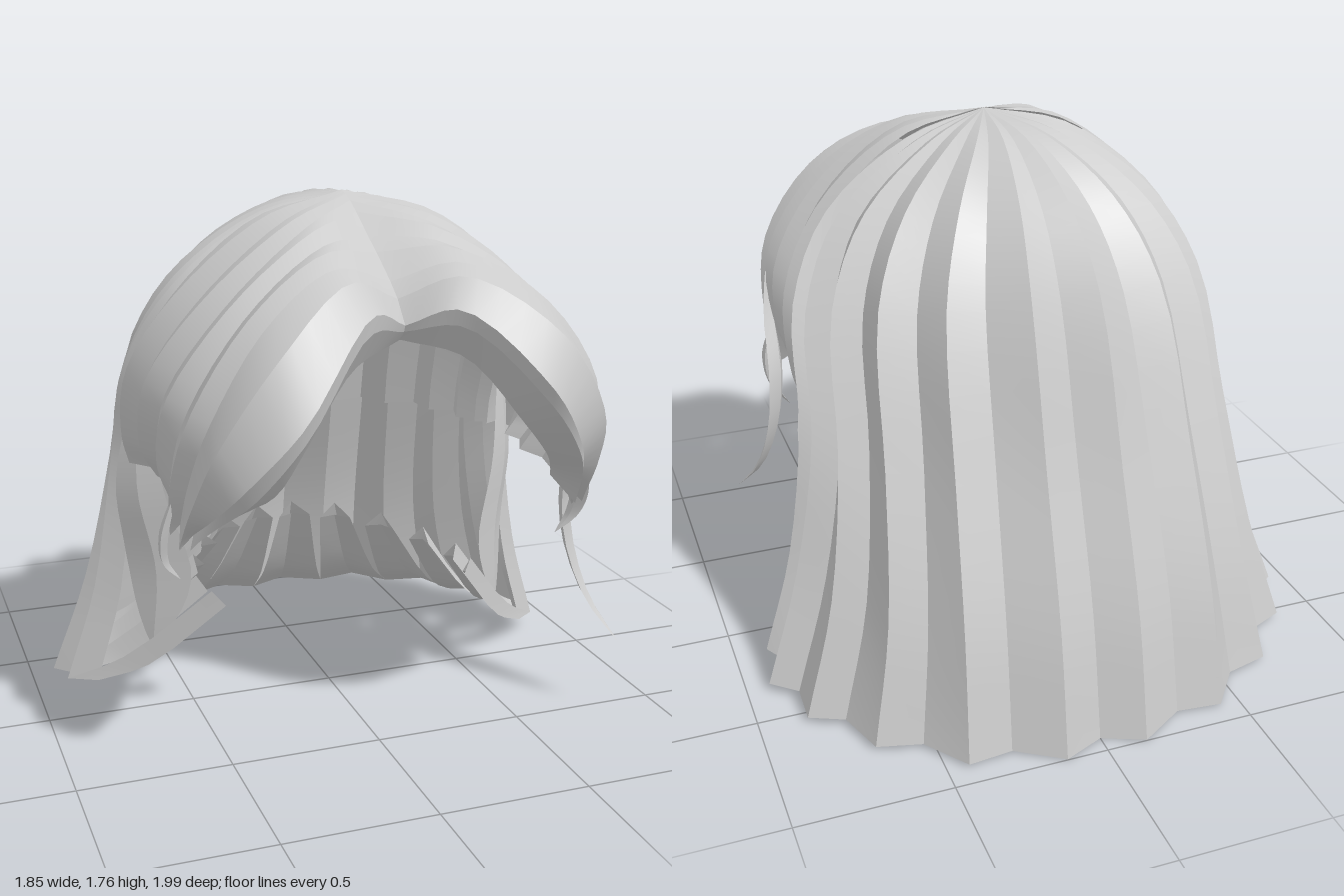
import * as THREE from 'three';
import { mergeGeometries } from 'three/addons/utils/BufferGeometryUtils.js';

const V = (x, y, z) => new THREE.Vector3(x, y, z);
const hair = new THREE.MeshStandardMaterial({ color: 0xcccccc, side: THREE.DoubleSide });
hair.name = 'hairGrey';

// Skin neighbouring columns of points; each strip is smooth along its length, creased at its sides
function sheet(cols) {
  const strips = [];
  for (let c = 0; c + 1 < cols.length; c++) {
    const pos = [], idx = [], n = cols[c].length;
    for (let i = 0; i < n; i++) pos.push(...cols[c][i].toArray(), ...cols[c + 1][i].toArray());
    for (let i = 0; i + 1 < n; i++) {
      const a = i * 2;
      idx.push(a, a + 1, a + 2, a + 1, a + 3, a + 2);
    }
    const g = new THREE.BufferGeometry();
    g.setAttribute('position', new THREE.Float32BufferAttribute(pos, 3));
    g.setIndex(idx);
    g.computeVertexNormals();
    strips.push(g);
  }
  return mergeGeometries(strips);
}

function part(name, geometry) {
  const m = new THREE.Mesh(geometry, hair);
  m.name = name;
  return m;
}

// One strand at parameter s (0..1) across a family of guide strands
function strand(guides, s, rows, lift, drop) {
  const pts = guides[0].map((_, i) =>
    new THREE.CatmullRomCurve3(guides.map(g => V(...g[i]))).getPoint(s));
  return new THREE.CatmullRomCurve3(pts).getPoints(rows).map((p, i) => {
    const t = i / rows;
    const out = p.clone().sub(V(0, Math.min(p.y, 0.95), -0.1)).normalize();
    p.addScaledVector(out, lift * THREE.MathUtils.smoothstep(t, 0, 0.6));
    p.y -= drop * t ** 6;
    return p;
  });
}

const mirror = guide => guide.map(([x, y, z]) => [-x, y, z]);

// Long back hair: guide strands from the back centre round to the side edge
const crown = [0, 1.75, 0.14];
const backGuides = [
  [crown, [0, 1.72, -0.15], [0, 1.58, -0.4], [0, 1.35, -0.57], [0, 0.85, -0.74], [0, 0.4, -0.89], [0, 0, -0.97]],
  [crown, [0.12, 1.71, -0.12], [0.25, 1.56, -0.33], [0.34, 1.32, -0.48], [0.38, 0.85, -0.66], [0.41, 0.4, -0.81], [0.43, 0.01, -0.89]],
  [crown, [0.2, 1.7, -0.02], [0.43, 1.52, -0.15], [0.56, 1.27, -0.27], [0.6, 0.85, -0.43], [0.66, 0.4, -0.56], [0.76, 0.02, -0.62]],
  [crown, [0.25, 1.685, 0.06], [0.52, 1.475, 0.02], [0.65, 1.2, -0.08], [0.68, 0.85, -0.22], [0.77, 0.4, -0.28], [0.895, 0.03, -0.33]],
  [crown, [0.28, 1.68, 0.13], [0.55, 1.455, 0.12], [0.68, 1.2, 0.03], [0.7, 0.87, -0.08], [0.75, 0.4, -0.1], [0.84, 0.07, -0.11]],
];

function backHair() {
  const all = [...backGuides.slice(1).reverse().map(mirror), ...backGuides];
  const pleats = 12, cols = [], lining = [], tufts = [];
  for (let i = 0; i <= pleats * 2; i++) {
    const ridge = i % 2;
    const skew = ridge ? (i < pleats ? 0.12 : -0.12) : 0;
    const s = (i + skew) / (pleats * 2);
    const lift = ridge ? 0.035 : -0.03;
    cols.push(strand(all, s, 24, lift, 0));
    lining.push(strand(all, s, 24, lift - 0.035, 0).slice(6, 17));
  }
  // Strand ends curl under the hem, inward and upward, as thick tufts
  for (let k = 0; k < pleats; k++) {
    const [a, r, b] = [0, 1, 2].map(j => cols[k * 2 + j].at(-1));
    const tip = V(r.x * 0.52, 0.41, r.z + 0.36);
    const curl = (h, rise) => {
      const q = tip.clone().addScaledVector(h.clone().sub(r), 0.42);
      const mid = h.clone().lerp(q, 0.4).add(V(0, -0.05, 0));
      return new THREE.CatmullRomCurve3([h, mid, q]).getPoints(6)
        .map((p, i) => p.add(V(0, rise * i / 6, 0)));
    };
    tufts.push(sheet([curl(a, 0), curl(r, 0), curl(b, 0), curl(r, 0.05), curl(a, 0)]));
  }
  return [
    part('backHair', sheet(cols)),
    part('capLining', sheet(lining.reverse())),
    part('curledEnds', mergeGeometries(tufts)),
  ];
}

// Side cap, from the side edge forward; its lower rim turns in
const capGuides = [
  [crown, [0.29, 1.685, 0.13], [0.56, 1.455, 0.1], [0.69, 1.2, 0], [0.7, 0.98, -0.07], [0.69, 0.87, -0.09]],
  [crown, [0.26, 1.68, 0.28], [0.53, 1.46, 0.29], [0.685, 1.2, 0.2], [0.68, 0.97, 0.12], [0.63, 0.88, 0.1]],
  [[0, 1.73, 0.2], [0.22, 1.67, 0.38], [0.49, 1.47, 0.46], [0.67, 1.2, 0.4], [0.665, 0.99, 0.3], [0.61, 0.87, 0.26]],
  [[0, 1.64, 0.36], [0.2, 1.63, 0.48], [0.46, 1.46, 0.58], [0.645, 1.19, 0.58], [0.675, 0.97, 0.48], [0.65, 0.84, 0.42]],
  [[0, 1.53, 0.55], [0.2, 1.59, 0.62], [0.45, 1.45, 0.73], [0.62, 1.18, 0.73], [0.66, 0.97, 0.62], [0.66, 0.83, 0.52]],
];
// Swept fringe: the crest, then the lower edge; the right side sweeps out further
const leftFringe = [
  [[0, 1.42, 0.67], [0.13, 1.48, 0.79], [0.35, 1.27, 0.95], [0.5, 1.07, 0.87], [0.58, 0.94, 0.74], [0.63, 0.82, 0.59]],
  [[0, 1.37, 0.63], [0.18, 1.32, 0.71], [0.36, 1.12, 0.75], [0.48, 0.99, 0.69], [0.55, 0.91, 0.59], [0.6, 0.85, 0.5]],
];
const rightFringe = [
  [[0, 1.42, 0.67], [0.15, 1.48, 0.8], [0.42, 1.23, 1.0], [0.57, 1.04, 0.92], [0.62, 0.93, 0.79], [0.64, 0.82, 0.6]],
  [[0, 1.37, 0.63], [0.18, 1.31, 0.72], [0.34, 1.11, 0.78], [0.43, 0.95, 0.73], [0.53, 0.88, 0.62], [0.6, 0.84, 0.5]],
];

function fringe(side) {
  const half = [...capGuides, ...(side > 0 ? leftFringe : rightFringe)];
  const guides = side > 0 ? half : half.map(mirror);
  const n = 12, cols = [];
  for (let i = 0; i <= n; i++) {
    const ridge = i % 2;
    const s = (i + (ridge ? -0.25 : 0)) / n;
    cols.push(strand(guides, s, 22, ridge ? 0.025 : -0.012, ridge && i > 6 ? 0.05 : 0));
  }
  return part(side > 0 ? 'leftFringe' : 'rightFringe', sheet(side > 0 ? cols : cols.reverse()));
}

// Loose lock with a diamond cross-section, tapering to both ends
function lock(name, path, across, width, thick, peak) {
  const curve = new THREE.CatmullRomCurve3(path.map(p => V(...p)));
  const w = V(...across).normalize();
  const nrm = V(0, 1, 0).cross(w).normalize();
  const cols = [[1, 0], [0, 1], [-1, 0], [0, -1], [1, 0]].map(([a, b]) =>
    curve.getPoints(16).map((p, i) => {
      const t = i / 16;
      const k = t < peak ? Math.sqrt(t / peak) : 1 - ((t - peak) / (1 - peak)) ** 2;
      return p.addScaledVector(w, a * width * k).addScaledVector(nrm, b * thick * k);
    }));
  return part(name, sheet(cols));
}

export function createModel() {
  const group = new THREE.Group();
  group.name = 'hair';
  group.add(...backHair(), fringe(1), fringe(-1));

  // Long loose lock on the left
  group.add(lock('longLock',
    [[0.5, 1.4, 0.62], [0.63, 1.2, 0.6], [0.68, 1.0, 0.52], [0.69, 0.8, 0.42], [0.71, 0.6, 0.41], [0.76, 0.4, 0.47], [0.83, 0.26, 0.58]],
    [-0.6, 0, 0.8], 0.055, 0.02, 0.5));

  for (const s of [1, -1]) {
    const side = s > 0 ? 'left' : 'right';
    const at = pts => pts.map(([x, y, z]) => [x * s, y, z]);
    // Broad lock hanging in front of the ear
    group.add(lock(side + 'EarLock',
      at([[0.65, 1.08, -0.02], [0.66, 0.78, -0.01], [0.61, 0.5, 0.02], [0.64, 0.22, 0.02]]),
      [-0.7 * s, 0, 0.75], 0.13, 0.02, 0.6));
    // Small wisps under the fringe
    group.add(lock(side + 'TempleWisp',
      at([[0.66, 0.95, 0.52], [0.7, 0.8, 0.5], [0.69, 0.7, 0.47], [0.64, 0.63, 0.45]]),
      [0.5 * s, 0, 1], 0.035, 0.015, 0.3));
    group.add(lock(side + 'FringeWisp',
      at([[0.6, 0.98, 0.68], [0.62, 0.86, 0.6], [0.66, 0.75, 0.52]]),
      [0.4 * s, 0, 1], 0.04, 0.015, 0.3));
  }
  return group;
}
